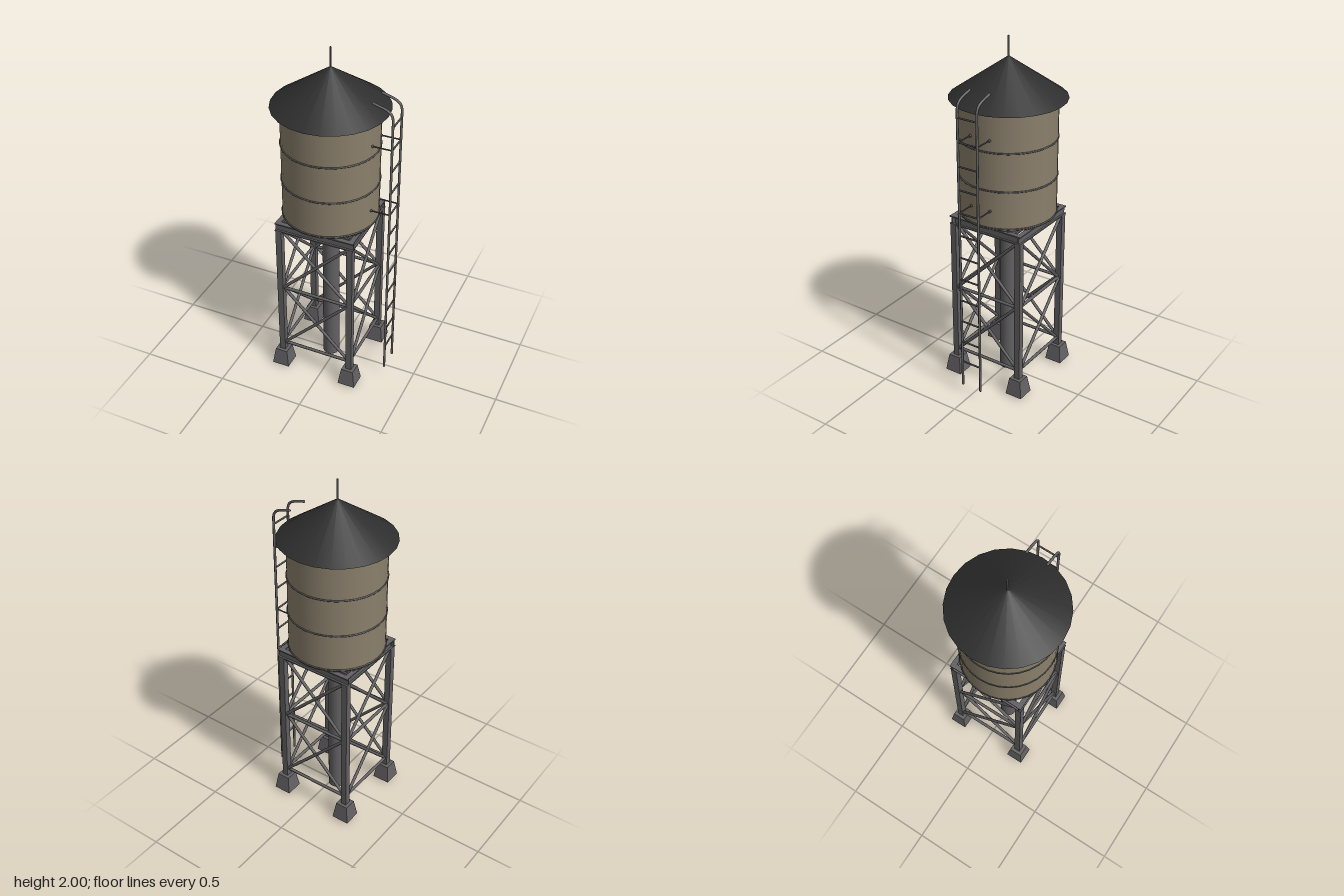
import * as THREE from 'three';

const mat = (name, color, extra = {}) => {
  const m = new THREE.MeshStandardMaterial({ color, ...extra });
  m.name = name;
  return m;
};

export function createModel() {
  const steel = mat('steel grey', 0x626062);
  const darkSteel = mat('dark steel', 0x505052);
  const tan = mat('tank tan', 0x8a7f6b);
  const black = mat('roof charcoal', 0x2e2e2e);

  const model = new THREE.Group();
  model.name = 'waterTower';
  const tower = new THREE.Group();
  tower.name = 'tower';
  tower.position.x = -0.03;
  model.add(tower);

  const add = (name, geo, material, x = 0, y = 0, z = 0, parent = tower) => {
    const m = new THREE.Mesh(geo, material);
    m.name = name;
    m.position.set(x, y, z);
    parent.add(m);
    return m;
  };
  // Round bar between two points
  const bar = (name, a, b, r, material, parent = tower) => {
    const p = new THREE.Vector3(...a), q = new THREE.Vector3(...b);
    const m = add(name, new THREE.CylinderGeometry(r, r, p.distanceTo(q), 8), material, 0, 0, 0, parent);
    m.position.copy(p).lerp(q, 0.5);
    m.quaternion.setFromUnitVectors(new THREE.Vector3(0, 1, 0), q.sub(p).normalize());
    return m;
  };
  // I-section beam running along z, centred
  const beamGeo = (length, w = 0.028, h = 0.05, t = 0.007) => {
    const s = new THREE.Shape();
    const x = w / 2, y = h / 2, k = t / 2;
    [[-x, -y], [x, -y], [x, -y + t], [k, -y + t], [k, y - t], [x, y - t],
      [x, y], [-x, y], [-x, y - t], [-k, y - t], [-k, -y + t], [-x, -y + t]]
      .forEach(([px, py], i) => (i ? s.lineTo(px, py) : s.moveTo(px, py)));
    return new THREE.ExtrudeGeometry(s, { depth: length, bevelEnabled: false }).translate(0, 0, -length / 2);
  };

  // Tank, hoops, roof and spike
  add('tank', new THREE.CylinderGeometry(0.265, 0.265, 0.66, 32), tan, 0, 1.35, 0);
  for (const y of [1.03, 1.245, 1.46]) {
    add('tankHoop', new THREE.TorusGeometry(0.265, 0.005, 8, 32).rotateX(Math.PI / 2), darkSteel, 0, y, 0);
  }
  add('roof', new THREE.ConeGeometry(0.316, 0.22, 24), black, 0, 1.785, 0);
  add('roofSpike', new THREE.CylinderGeometry(0.005, 0.005, 0.12, 8), steel, 0, 1.94, 0);

  // Central riser pipe
  add('riserPipe', new THREE.CylinderGeometry(0.048, 0.048, 1.02, 24), steel, 0, 0.51, 0);

  // Platform frame and joists
  for (const s of [-1, 1]) {
    add('platformBeam', beamGeo(0.46).rotateY(Math.PI / 2), steel, 0, 0.986, s * 0.215);
    add('platformSideBeam', beamGeo(0.404), steel, s * 0.215, 0.986, 0);
  }
  for (let i = -2; i <= 2; i++) {
    add('joist', beamGeo(0.43).rotateY(Math.PI / 2), steel, 0, 0.996, i * 0.07);
  }

  // Legs on tapered footings
  const L = 0.21;
  for (const sx of [-1, 1]) for (const sz of [-1, 1]) {
    add('leg', new THREE.BoxGeometry(0.035, 0.87, 0.035), steel, sx * L, 0.53, sz * L);
    const foot = new THREE.CylinderGeometry(0.036 * Math.SQRT2, 0.051 * Math.SQRT2, 0.1, 4, 1)
      .rotateY(Math.PI / 4).toNonIndexed();
    foot.computeVertexNormals();
    add('footing', foot, steel, sx * L, 0.06, sz * L);
  }

  // Bracing on each of the four sides
  for (let side = 0; side < 4; side++) {
    const g = new THREE.Group();
    g.name = 'sideBracing';
    g.rotation.y = side * Math.PI / 2;
    tower.add(g);
    const w = 0.2;
    for (const [y0, y1] of [[0.155, 0.565], [0.565, 0.96]]) {
      bar('crossTie', [-w, y0, L], [w, y0, L], 0.009, steel, g);
      bar('diagonal', [-w, y0, L + 0.004], [w, y1, L + 0.004], 0.009, steel, g);
      bar('diagonal', [w, y0, L - 0.004], [-w, y1, L - 0.004], 0.009, steel, g);
    }
  }

  // Ladder with hooked rails
  const ladder = new THREE.Group();
  ladder.name = 'ladder';
  model.add(ladder);
  const X = 0.336;
  for (const z of [-0.06, 0.06]) {
    const path = new THREE.CurvePath();
    const v = (x, y) => new THREE.Vector3(x, y, z);
    path.add(new THREE.LineCurve3(v(X, 0.05), v(X, 1.69)));
    path.add(new THREE.CubicBezierCurve3(v(X, 1.69), v(X, 1.73), v(0.32, 1.745), v(0.285, 1.757)));
    path.add(new THREE.LineCurve3(v(0.285, 1.757), v(0.228, 1.773)));
    add('ladderRail', new THREE.TubeGeometry(path, 120, 0.007, 8), steel, 0, 0, 0, ladder);
    // End caps
    add('railEnd', new THREE.SphereGeometry(0.007, 8, 6), steel, 0.228, 1.773, z, ladder);
    add('railFoot', new THREE.SphereGeometry(0.007, 8, 6), steel, X, 0.05, z, ladder);
    // Brackets to the tank wall
    for (const y of [1.13, 1.527]) {
      bar('bracket', [0.222, y, z], [X, y, z], 0.004, darkSteel, ladder);
      add('bracketPad', new THREE.SphereGeometry(0.008, 8, 6), darkSteel, 0.23, y, z, ladder);
    }
  }
  for (let i = 0; i < 12; i++) {
    const y = 0.204 + i * 0.1323;
    bar('rung', [X, y, -0.06], [X, y, 0.06], 0.005, darkSteel, ladder);
  }
  return model;
}
